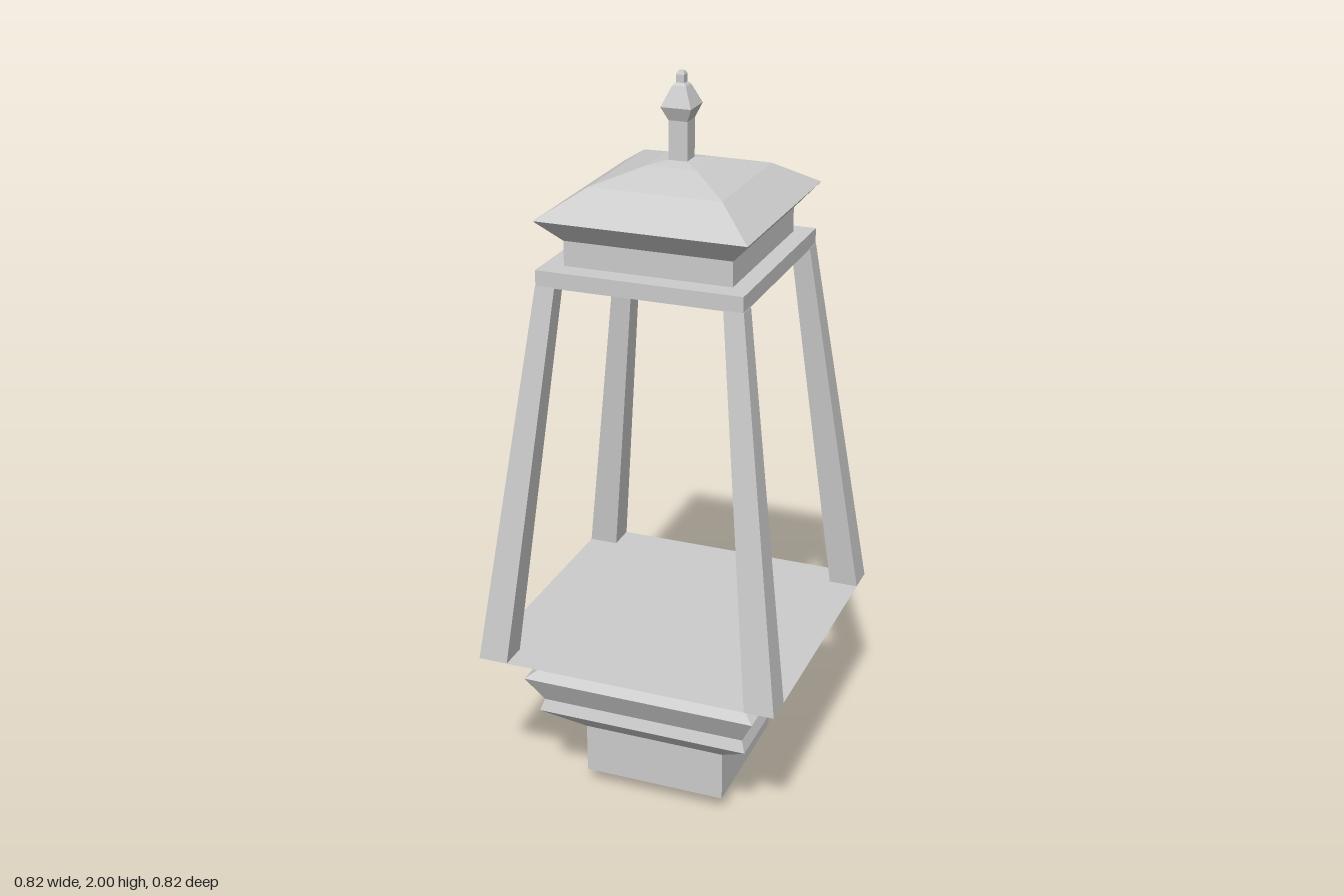
import * as THREE from 'three';

const material = new THREE.MeshStandardMaterial({ color: 0xcccccc, flatShading: true });

// Closed stack of rectangles; each ring is [y, halfX, halfZ, centreX, centreZ], bottom to top
function rectLoft(name, rings) {
  const corners = rings.map(([y, hx, hz = hx, cx = 0, cz = 0]) => [
    [cx - hx, y, cz + hz], [cx + hx, y, cz + hz],
    [cx + hx, y, cz - hz], [cx - hx, y, cz - hz],
  ]);
  const pos = [];
  const quad = (a, b, c, d) => pos.push(...a, ...b, ...c, ...a, ...c, ...d);
  for (let i = 0; i + 1 < corners.length; i++) {
    const lo = corners[i], hi = corners[i + 1];
    for (let k = 0; k < 4; k++) {
      const n = (k + 1) % 4;
      quad(lo[k], lo[n], hi[n], hi[k]);
    }
  }
  const [a, b, c, d] = corners[0];
  quad(d, c, b, a);
  quad(...corners[corners.length - 1]);
  const geometry = new THREE.BufferGeometry();
  geometry.setAttribute('position', new THREE.Float32BufferAttribute(pos, 3));
  geometry.computeVertexNormals();
  const mesh = new THREE.Mesh(geometry, material);
  mesh.name = name;
  return mesh;
}

export function createModel() {
  const lantern = new THREE.Group();
  lantern.name = 'lantern';

  // Stepped base: foot, block, mouldings and floor plate
  lantern.add(rectLoft('foot', [[0, 0.095], [0.05, 0.125]]));
  lantern.add(rectLoft('base', [
    [0.05, 0.2], [0.192, 0.2], [0.278, 0.296], [0.31, 0.285],
    [0.388, 0.325], [0.42, 0.277], [0.482, 0.412],
  ]));

  // Four leaning corner posts
  const posts = new THREE.Group();
  posts.name = 'cornerPosts';
  for (const sx of [-1, 1]) {
    for (const sz of [-1, 1]) {
      posts.add(rectLoft('cornerPost', [
        [0.482, 0.04, 0.04, sx * 0.372, sz * 0.372],
        [1.505, 0.026, 0.026, sx * 0.247, sz * 0.26],
      ]));
    }
  }
  lantern.add(posts);

  // Top plate and collar
  const cx = 0.003, cz = -0.004;
  lantern.add(rectLoft('topPlate', [[1.503, 0.272, 0.286], [1.545, 0.272, 0.286]]));

  // Flared eaves and domed roof
  lantern.add(rectLoft('roof', [
    [1.54, 0.222, 0.234], [1.61, 0.222, 0.234], [1.67, 0.277, 0.29],
    [1.738, 0.175, 0.184], [1.773, 0.066, 0.069], [1.78, 0.025, 0.026],
  ].map((r) => [...r, cx, cz])));

  // Finial: stem, knob and tip
  lantern.add(rectLoft('finial', [
    [1.77, 0.025], [1.88, 0.025], [1.915, 0.04], [1.965, 0.018],
    [1.972, 0.011], [1.992, 0.011], [2, 0.007],
  ].map(([y, h]) => [y, h, h * 1.04, cx, cz])));

  return lantern;
}
